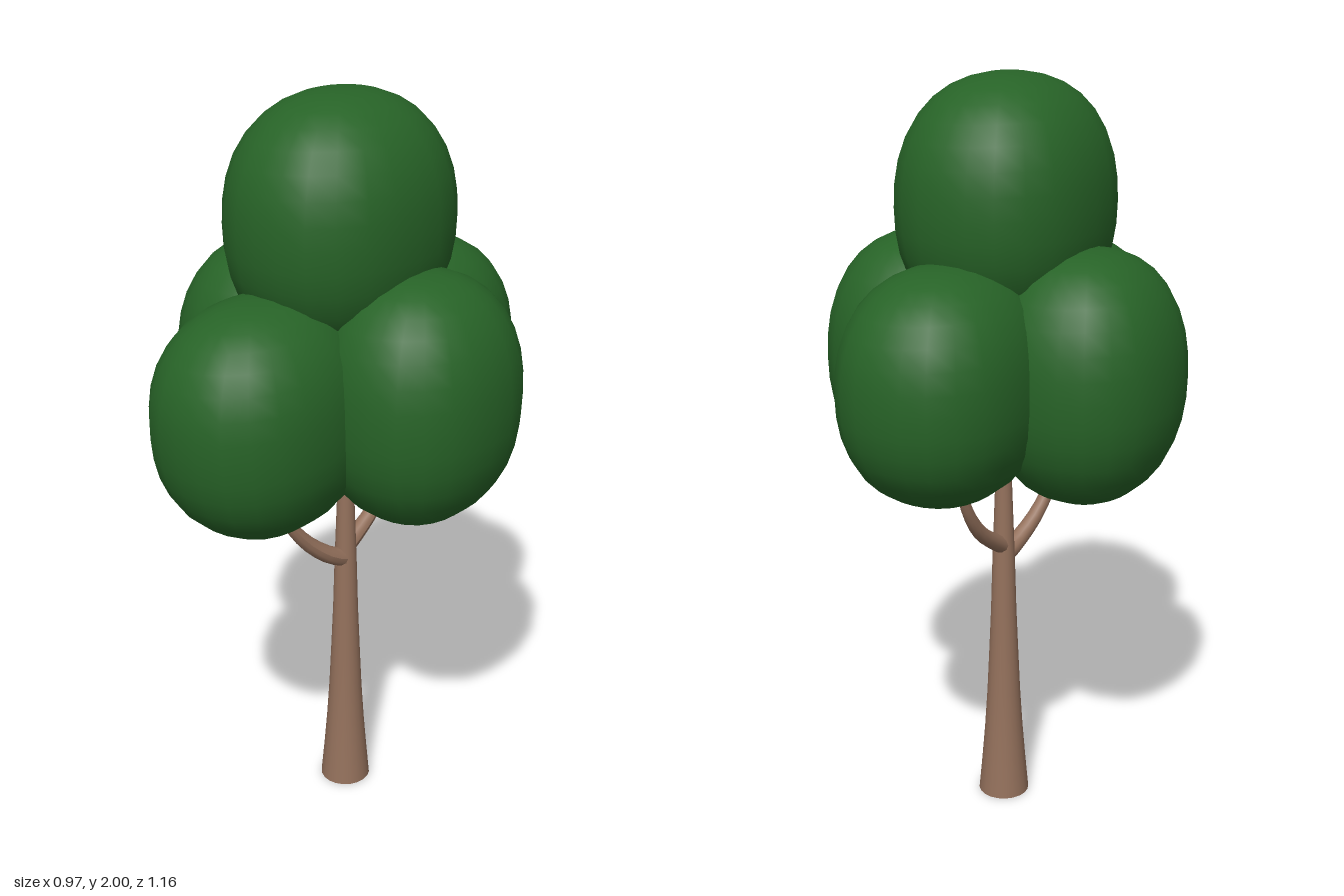
import * as THREE from 'three';

const leafMat = new THREE.MeshStandardMaterial({ color: 0x276327 });
const barkMat = new THREE.MeshStandardMaterial({ color: 0x94715c });

function addMesh(group, name, geometry, material) {
  const mesh = new THREE.Mesh(geometry, material);
  mesh.name = name;
  group.add(mesh);
  return mesh;
}

// Slightly squarish ellipsoid with smooth analytic normals
function clumpGeometry(rx, ry, rz, power = 2.3) {
  const geo = new THREE.SphereGeometry(1, 24, 18);
  const pos = geo.attributes.position, nor = geo.attributes.normal;
  const v = new THREE.Vector3(), n = new THREE.Vector3();
  const slope = (t, r) => Math.sign(t) * Math.abs(t) ** (power - 1) / r;
  for (let i = 0; i < pos.count; i++) {
    v.fromBufferAttribute(pos, i);
    const len = (Math.abs(v.x) ** power + Math.abs(v.y) ** power + Math.abs(v.z) ** power) ** (1 / power);
    v.divideScalar(len);
    n.set(slope(v.x, rx), slope(v.y, ry), slope(v.z, rz)).normalize();
    pos.setXYZ(i, v.x * rx, v.y * ry, v.z * rz);
    nor.setXYZ(i, n.x, n.y, n.z);
  }
  return geo;
}

// Tube along a curve, narrowing from r0 to r1
function taperedTube(points, r0, r1, segments = 12, sides = 12) {
  const curve = new THREE.CatmullRomCurve3(points.map(p => new THREE.Vector3(...p)));
  const geo = new THREE.TubeGeometry(curve, segments, 1, sides);
  const pos = geo.attributes.position, v = new THREE.Vector3();
  for (let i = 0; i < pos.count; i++) {
    const t = Math.floor(i / (sides + 1)) / segments;
    const centre = curve.getPointAt(t);
    v.fromBufferAttribute(pos, i).sub(centre).multiplyScalar(r0 + (r1 - r0) * t).add(centre);
    pos.setXYZ(i, v.x, v.y, v.z);
  }
  geo.computeVertexNormals();
  return geo;
}

export function createModel() {
  const tree = new THREE.Group();
  tree.name = 'tree';

  // Flared trunk running up into the crown
  const profile = [[0.07, 0], [0.061, 0.1], [0.053, 0.2], [0.046, 0.31], [0.041, 0.42],
    [0.035, 0.56], [0.031, 0.7], [0.023, 0.92], [0.018, 1.15], [0, 1.4]];
  const trunk = addMesh(tree, 'trunk',
    new THREE.LatheGeometry(profile.map(p => new THREE.Vector2(...p)), 20), barkMat);
  trunk.position.z = -0.02;

  // Dark disc closing the foot of the trunk
  const base = addMesh(tree, 'trunkBase', new THREE.CircleGeometry(0.07, 20), leafMat);
  base.rotation.x = Math.PI / 2;
  base.position.z = -0.02;

  // Two curved branches
  addMesh(tree, 'frontBranch', taperedTube(
    [[0, 0.72, -0.02], [-0.006, 0.74, 0.03], [-0.025, 0.8, 0.105], [-0.04, 0.88, 0.165], [-0.055, 0.96, 0.2], [-0.06, 1.06, 0.23]],
    0.027, 0.009), barkMat);
  addMesh(tree, 'backBranch', taperedTube(
    [[0, 0.75, -0.02], [0, 0.775, -0.065], [0, 0.825, -0.135], [0, 0.895, -0.19], [0, 0.98, -0.225], [0, 1.08, -0.25]],
    0.025, 0.009), barkMat);

  // Crown: name, centre, radii, tilt about x
  const clumps = [
    ['topFoliage', [0, 1.68, 0], [0.256, 0.32, 0.305], 0],
    ['leftFoliage', [0.245, 1.265, -0.018], [0.24, 0.325, 0.267], 0],
    ['rightFoliage', [-0.245, 1.265, -0.018], [0.24, 0.325, 0.267], 0],
    ['frontFoliage', [0, 1.243, 0.29], [0.238, 0.302, 0.29], 0.06],
    ['backFoliage', [0, 1.272, -0.29], [0.238, 0.298, 0.29], 0],
  ];
  for (const [name, centre, radii, tilt] of clumps) {
    const clump = addMesh(tree, name, clumpGeometry(...radii), leafMat);
    clump.position.set(...centre);
    clump.rotation.x = tilt;
  }
  return tree;
}
